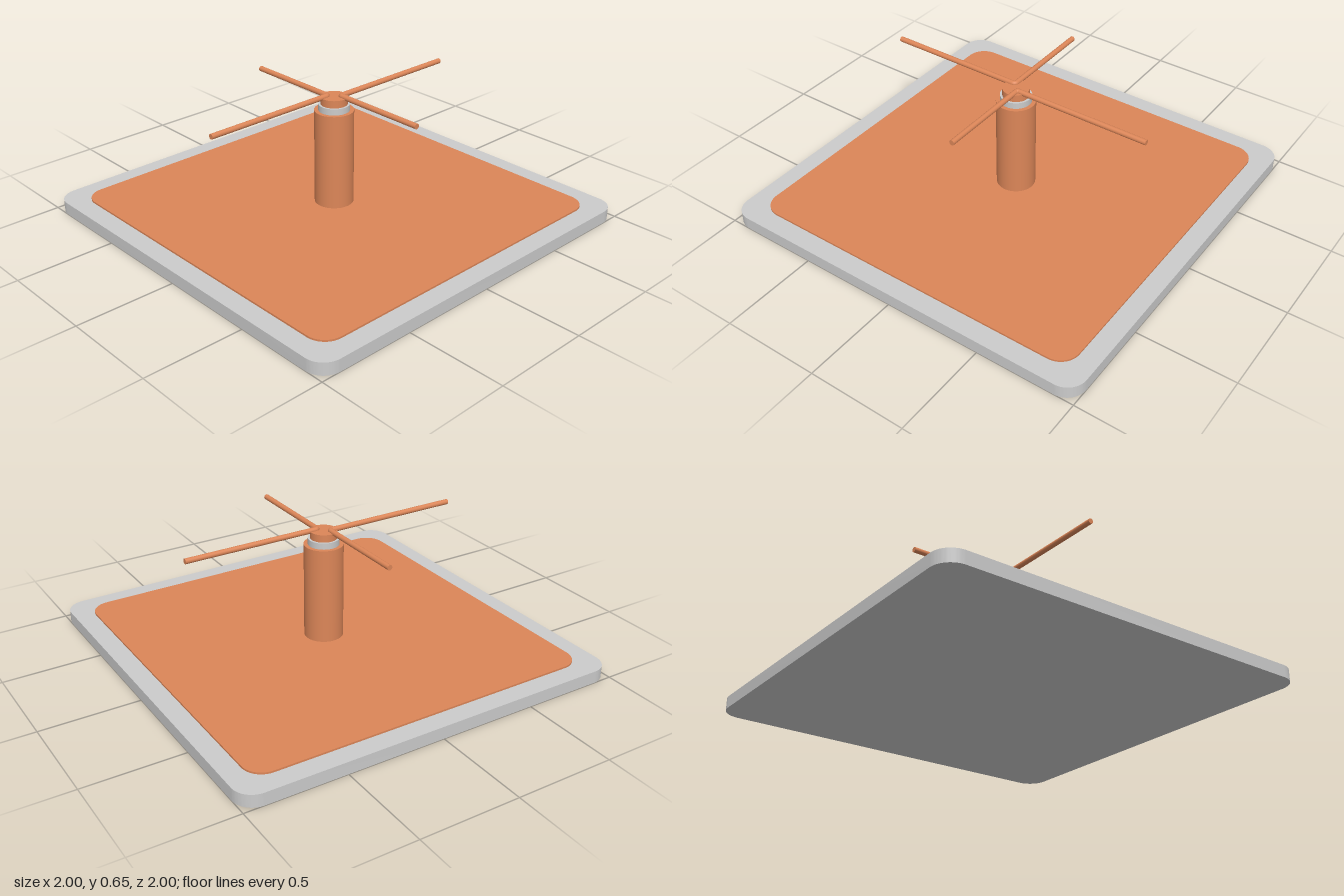
import * as THREE from 'three';
import { toCreasedNormals } from 'three/addons/utils/BufferGeometryUtils.js';

export function createModel() {
  const group = new THREE.Group();
  const grey = new THREE.MeshStandardMaterial({ color: 0xcccccc });
  const copper = new THREE.MeshStandardMaterial({ color: 0xdc8658 });

  const add = (parent, name, geometry, material) => {
    const mesh = new THREE.Mesh(geometry, material);
    mesh.name = name;
    parent.add(mesh);
    return mesh;
  };

  // Horizontal square plate with rounded corners, from y0 to y1
  const plate = (half, r, y0, y1) => {
    const s = new THREE.Shape();
    const c = half - r;
    s.absarc(c, c, r, 0, Math.PI / 2);
    s.absarc(-c, c, r, Math.PI / 2, Math.PI);
    s.absarc(-c, -c, r, Math.PI, Math.PI * 1.5);
    s.absarc(c, -c, r, Math.PI * 1.5, Math.PI * 2);
    s.closePath();
    const g = new THREE.ExtrudeGeometry(s, { depth: y1 - y0, bevelEnabled: false, curveSegments: 12 });
    g.rotateX(-Math.PI / 2).translate(0, y0, 0);
    return toCreasedNormals(g, 0.6);
  };
  add(group, 'basePlate', plate(1, 0.1, 0, 0.063), grey);
  add(group, 'copperSheet', plate(0.9, 0.1, 0.063, 0.072), copper);

  // Stepped post: outer sleeve, insulator, inner core
  const post = (name, r, y0, y1, material) =>
    add(group, name, new THREE.CylinderGeometry(r, r, y1 - y0, 48).translate(0, (y0 + y1) / 2, 0), material);
  post('outerSleeve', 0.098, 0.072, 0.565, copper);
  post('insulator', 0.078, 0.565, 0.597, grey);
  post('innerCore', 0.067, 0.597, 0.635, copper);

  // Two bent rods, one turned half a circle from the other
  const rod = 0.0135, bend = 0.014, offset = 0.021, start = offset + bend;
  for (let i = 0; i < 2; i++) {
    const arm = new THREE.Group();
    arm.name = 'bentRod' + (i + 1);
    const long = 0.73 - start, short = 0.527 - start;
    add(arm, 'longArm', new THREE.CylinderGeometry(rod, rod, long, 20)
      .rotateX(Math.PI / 2).translate(offset, 0, -start - long / 2), copper);
    add(arm, 'shortArm', new THREE.CylinderGeometry(rod, rod, short, 20)
      .rotateZ(Math.PI / 2).translate(start + short / 2, 0, -offset), copper);
    add(arm, 'elbow', new THREE.TorusGeometry(bend, rod, 20, 10, Math.PI / 2)
      .rotateZ(Math.PI).rotateX(-Math.PI / 2).translate(start, 0, -start), copper);
    arm.position.y = 0.6365;
    arm.rotation.y = i * Math.PI;
    group.add(arm);
  }
  return group;
}
